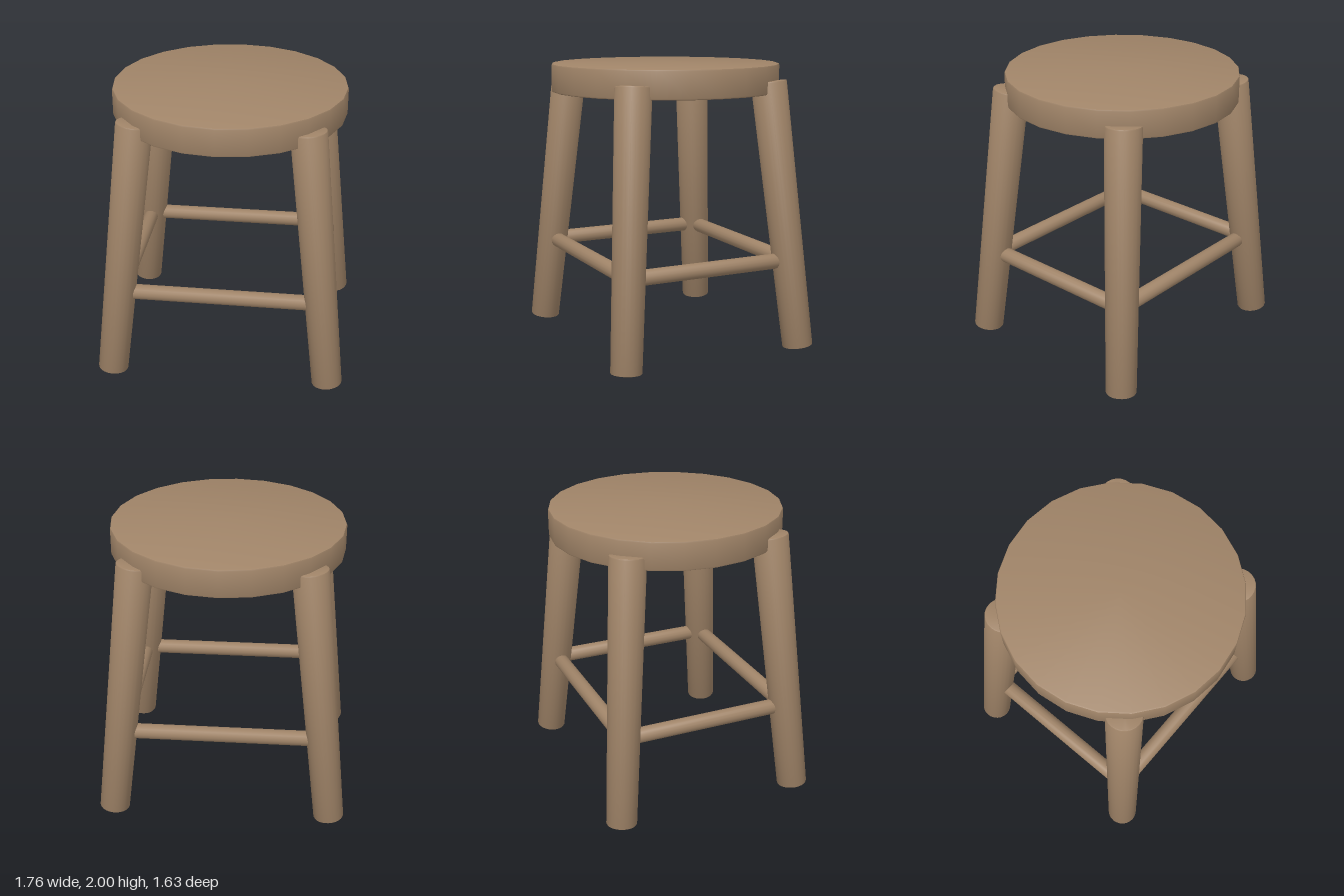
import * as THREE from 'three';
import { toCreasedNormals } from 'three/addons/utils/BufferGeometryUtils.js';

const wood = new THREE.MeshStandardMaterial({ color: 0xa08468 });
const UP = new THREE.Vector3(0, 1, 0);

// Solid disc or rod along y from 0 to h, tapering from r0 to r1, with softened rims
function turned(r0, r1, h, bevel, sides) {
  const profile = [
    [0, 0], [r0 - bevel, 0], [r0 - bevel * 0.3, bevel * 0.3], [r0, bevel],
    [r1, h - bevel], [r1 - bevel * 0.3, h - bevel * 0.3], [r1 - bevel, h], [0, h],
  ].map(([x, y]) => new THREE.Vector2(x, y));
  return toCreasedNormals(new THREE.LatheGeometry(profile, sides), 0.6);
}

// Rod between two points
function rod(name, from, to, r0, r1, bevel, sides) {
  const axis = to.clone().sub(from);
  const mesh = new THREE.Mesh(turned(r0, r1, axis.length(), bevel, sides), wood);
  mesh.name = name;
  mesh.position.copy(from);
  mesh.quaternion.setFromUnitVectors(UP, axis.normalize());
  return mesh;
}

export function createModel() {
  const stool = new THREE.Group();
  stool.name = 'stool';

  // Round seat
  const seat = new THREE.Mesh(turned(0.815, 0.815, 0.2, 0.012, 24), wood);
  seat.name = 'seat';
  seat.position.y = 1.8;
  stool.add(seat);

  // Splayed, tapered legs let into the rim of the seat
  for (const sx of [1, -1]) {
    for (const sz of [1, -1]) {
      const name = (sz > 0 ? 'front' : 'back') + (sx > 0 ? 'Left' : 'Right') + 'Leg';
      const foot = new THREE.Vector3(sx * 0.775, 0.015, sz * 0.67);
      const top = new THREE.Vector3(sx * 0.575, 1.885, sz * 0.515);
      stool.add(rod(name, foot, top, 0.107, 0.125, 0.01, 24));
    }
  }

  // Stretchers joining neighbouring legs
  const y = 0.635, x = 0.703, z = 0.612, r = 0.054;
  for (const s of [1, -1]) {
    stool.add(rod(s > 0 ? 'frontStretcher' : 'backStretcher',
      new THREE.Vector3(-x, y, s * z), new THREE.Vector3(x, y, s * z), r, r, 0.005, 16));
    stool.add(rod(s > 0 ? 'leftStretcher' : 'rightStretcher',
      new THREE.Vector3(s * x, y, -z), new THREE.Vector3(s * x, y, z), r, r, 0.005, 16));
  }
  return stool;
}
